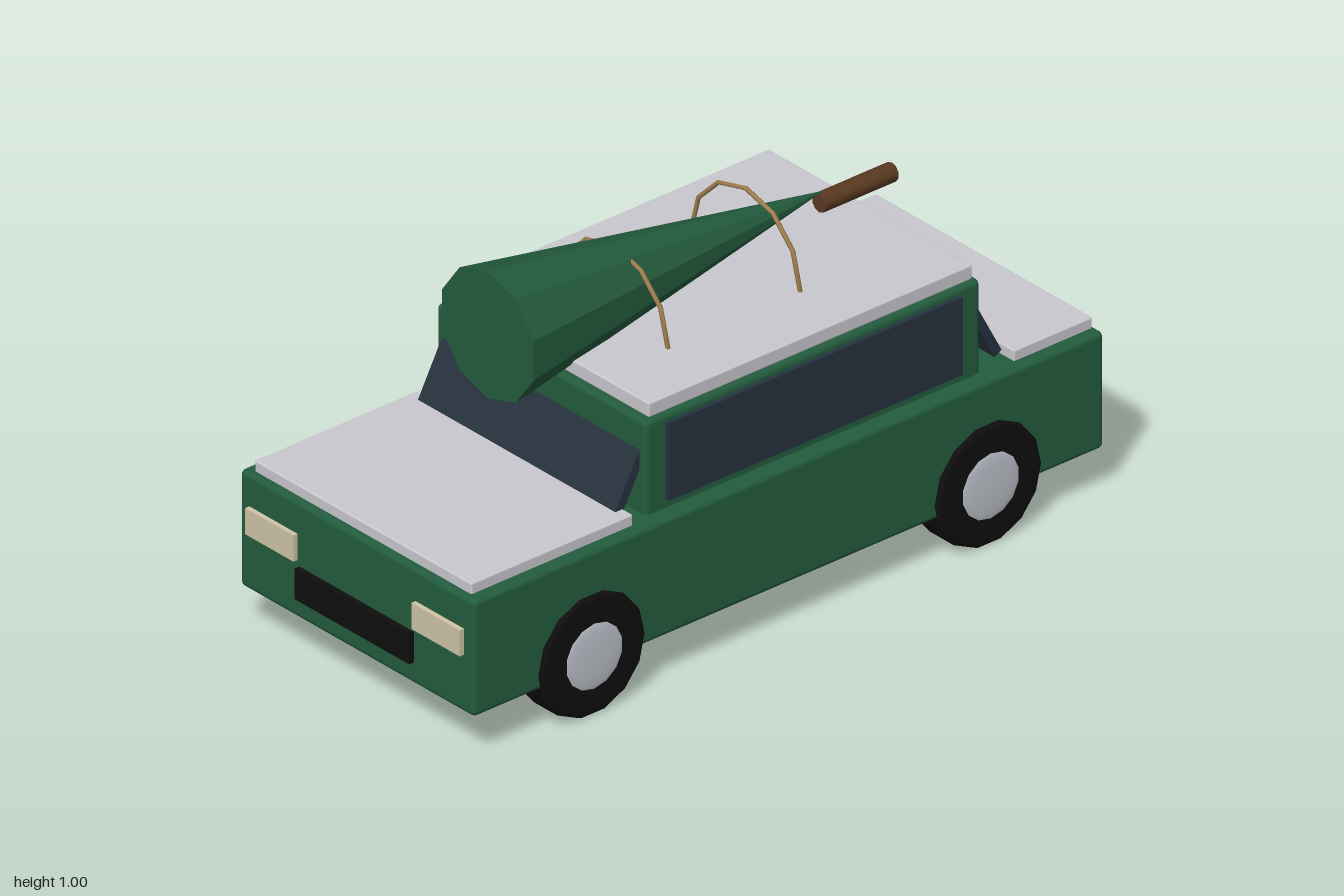
import * as THREE from 'three';
import { RoundedBoxGeometry } from 'three/addons/geometries/RoundedBoxGeometry.js';

const material = (name, color, extra = {}) => {
  const m = new THREE.MeshStandardMaterial({ color, ...extra });
  m.name = name;
  return m;
};

export function createModel() {
  const green = material('forest green', 0x235c3e);
  const treeGreen = material('tree green', 0x235c3e, { flatShading: true });
  const grey = material('light grey', 0xc8c8ce);
  const glass = material('dark glass', 0x26323e);
  const black = material('rubber black', 0x0e0e0e);
  const silver = material('hub silver', 0xbcc0c8);
  const cream = material('lamp cream', 0xd0c4a8);
  const red = material('lamp red', 0xb4242a);
  const brown = material('bark brown', 0x5a3a22);
  const tan = material('rope tan', 0xa0804f);

  const model = new THREE.Group();
  model.name = 'carWithTree';

  const add = (name, geometry, mat, x = 0, y = 0, z = 0) => {
    const mesh = new THREE.Mesh(geometry, mat);
    mesh.name = name;
    mesh.position.set(x, y, z);
    model.add(mesh);
    return mesh;
  };
  // Box given by its limits on each axis, with an optional rounded edge
  const block = (name, mat, [x0, x1], [y0, y1], [z0, z1], radius = 0) => {
    const size = [x1 - x0, y1 - y0, z1 - z0];
    const geometry = radius ? new RoundedBoxGeometry(...size, 2, radius) : new THREE.BoxGeometry(...size);
    return add(name, geometry, mat, (x0 + x1) / 2, (y0 + y1) / 2, (z0 + z1) / 2);
  };

  // Bodywork
  block('body', green, [-0.422, 0.422], [0.125, 0.442], [-0.985, 0.985], 0.015);
  block('cabin', green, [-0.378, 0.378], [0.42, 0.695], [-0.637, 0.41], 0.015);
  block('roof', grey, [-0.366, 0.366], [0.695, 0.735], [-0.62, 0.39], 0.005);
  block('hood', grey, [-0.39, 0.39], [0.435, 0.471], [0.46, 0.965], 0.005);
  block('trunkLid', grey, [-0.39, 0.39], [0.435, 0.471], [-0.975, -0.73], 0.005);

  // Sloping front and rear windows
  for (const [name, z, tilt] of [['windshield', 0.437, -0.49], ['rearWindow', -0.668, 0.49]]) {
    const pane = add(name, new THREE.BoxGeometry(0.71, 0.18, 0.025), glass, 0, 0.535, z);
    pane.rotation.x = tilt;
  }

  // Grille
  block('grille', black, [-0.206, 0.206], [0.186, 0.269], [0.98, 1]);

  // Tyre and hub are turned about the local y axis, outward face up
  const tyreProfile = [[0, -0.058], [0.15, -0.058], [0.161, -0.053], [0.165, -0.043],
    [0.165, 0.043], [0.161, 0.053], [0.15, 0.058], [0, 0.058]].map(([r, y]) => new THREE.Vector2(r, y));
  const tyreGeometry = new THREE.LatheGeometry(tyreProfile, 14);
  const hubGeometry = new THREE.SphereGeometry(0.09, 14, 6, 0, Math.PI * 2, 0, Math.PI / 2);
  hubGeometry.scale(1, 0.08, 1);

  for (const side of [1, -1]) {
    const sideName = side > 0 ? 'left' : 'right';
    const span = (a, b) => (side > 0 ? [a, b] : [-b, -a]);
    block(sideName + 'SideWindow', glass, span(0.37, 0.39), [0.465, 0.675], [-0.57, 0.348]);
    block(sideName + 'Headlight', cream, span(0.212, 0.386), [0.284, 0.355], [0.98, 0.998]);
    block(sideName + 'TailLight', red, span(0.21, 0.39), [0.298, 0.36], [-1, -0.98]);

    for (const [end, z] of [['Front', 0.62], ['Rear', -0.618]]) {
      const tyre = add(sideName + end + 'Tyre', tyreGeometry, black, side * 0.377, 0.165, z);
      const hub = add(sideName + end + 'Hub', hubGeometry, silver, side * 0.434, 0.165, z);
      tyre.rotation.z = hub.rotation.z = -side * Math.PI / 2;
    }
  }

  // Tree lying on the roof, tip to the rear
  const coneGeometry = new THREE.ConeGeometry(0.173, 1.05, 10);
  coneGeometry.rotateX(-Math.PI / 2);
  add('treeFoliage', coneGeometry, treeGreen, 0, 0.833, 0.05);
  const trunkGeometry = new THREE.CylinderGeometry(0.025, 0.025, 0.228, 10);
  trunkGeometry.rotateX(Math.PI / 2);
  add('treeTrunk', trunkGeometry, brown, 0, 0.805, -0.573);

  // Ropes arching over the tree
  const ropeGeometry = new THREE.TorusGeometry(0.196, 0.006, 6, 6, Math.PI);
  add('frontRope', ropeGeometry, tan, 0, 0.735, 0.183);
  add('rearRope', ropeGeometry, tan, 0, 0.735, -0.23);

  return model;
}
